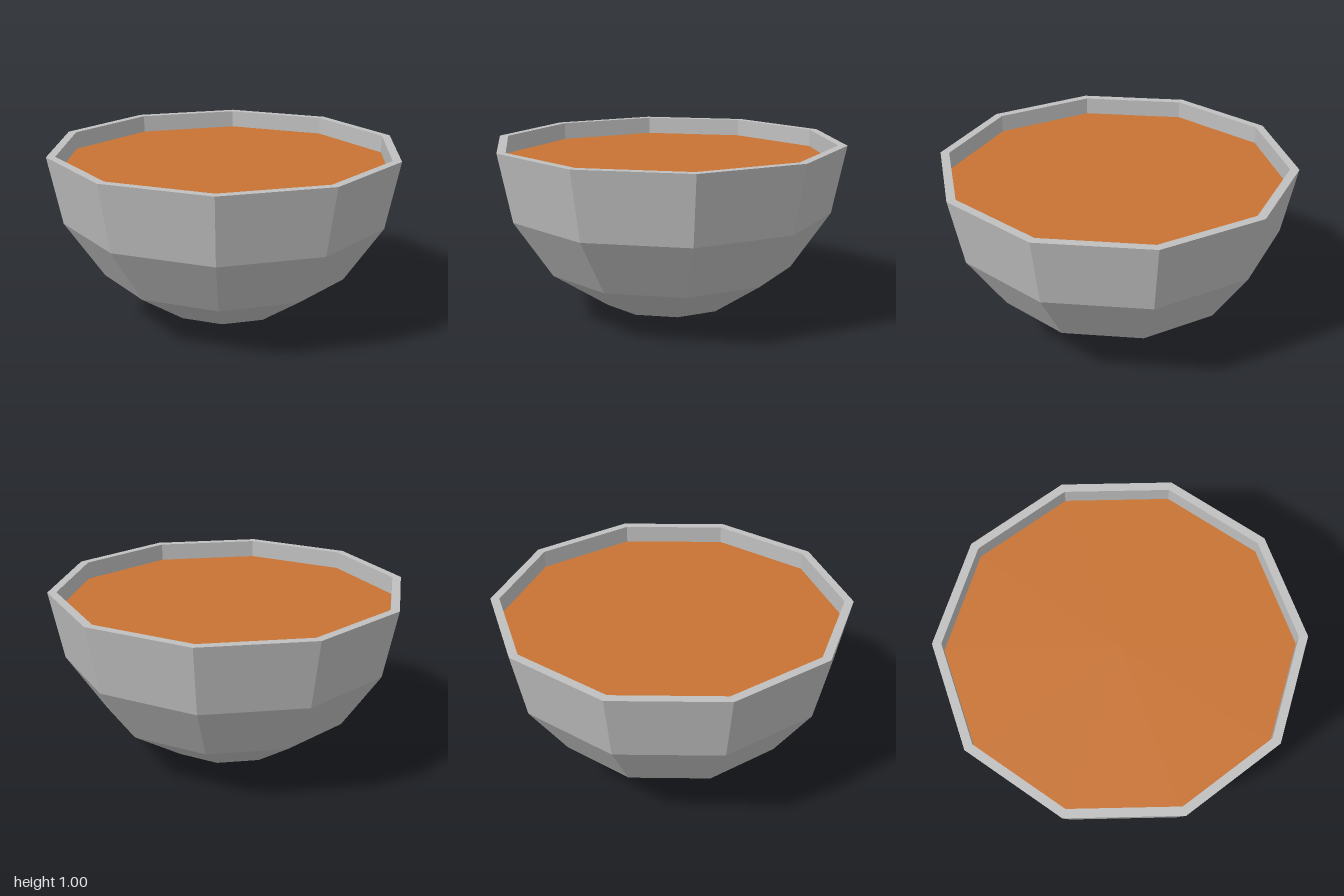
import * as THREE from 'three';

const SIDES = 10;
const INNER = 0.95; // inner radius at the rim
const FILL = 0.9;   // height of the filling

export function createModel() {
  const silver = new THREE.MeshStandardMaterial({ color: 0xc0c0c0, flatShading: true });
  silver.name = 'silver';
  const copper = new THREE.MeshStandardMaterial({ color: 0xc87333, flatShading: true });
  copper.name = 'copper';

  const model = new THREE.Group();
  model.name = 'filledBowl';

  // Bowl: faceted hemisphere, flat rim, then the inner wall down to the filling
  const profile = [];
  for (let i = 0; i <= 4; i++) {
    const a = (i * Math.PI) / 8;
    profile.push(new THREE.Vector2(Math.sin(a), 1 - Math.cos(a)));
  }
  profile.push(new THREE.Vector2(INNER, 1), new THREE.Vector2(INNER, FILL));
  const bowl = new THREE.Mesh(new THREE.LatheGeometry(profile, SIDES), silver);
  bowl.name = 'bowl';
  model.add(bowl);

  // Filling: flat ten-sided surface just below the rim
  const surface = new THREE.CircleGeometry(INNER, SIDES, Math.PI / 2);
  surface.rotateX(-Math.PI / 2);
  const filling = new THREE.Mesh(surface, copper);
  filling.name = 'filling';
  filling.position.y = FILL;
  model.add(filling);

  return model;
}
